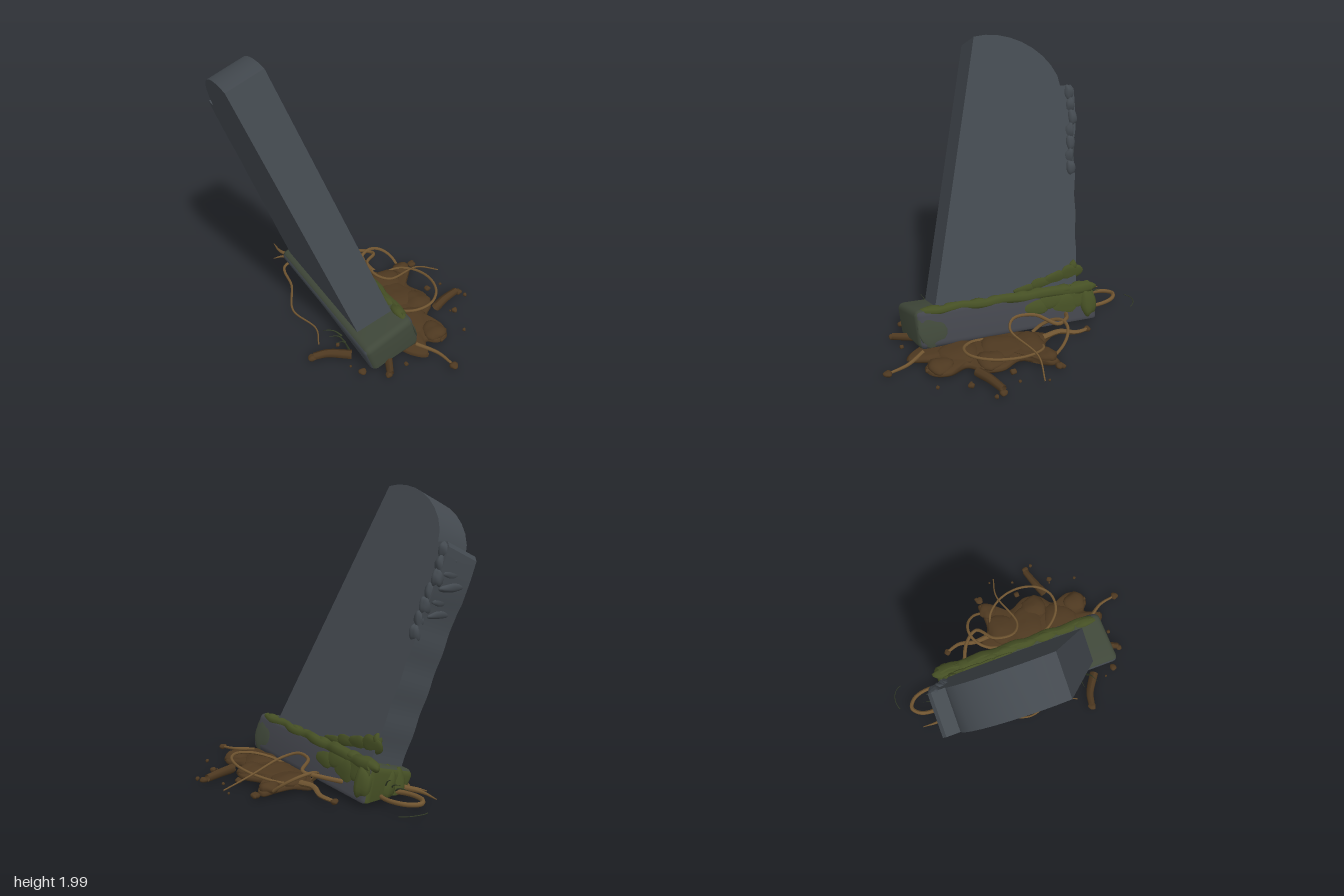
import * as THREE from 'three';
import { toCreasedNormals } from 'three/addons/utils/BufferGeometryUtils.js';
import { RoundedBoxGeometry } from 'three/addons/geometries/RoundedBoxGeometry.js';

const mat = (name, color) => new THREE.MeshStandardMaterial({ name, color });
const slate = mat('slate', 0x43494f);
const dampSlate = mat('damp slate', 0x42444b);
const mossyStone = mat('mossy stone', 0x3f4739);
const moss = mat('moss', 0x454f24);
const soil = mat('soil', 0x4d3820);
const rootBrown = mat('root brown', 0x6f5430);
const grass = mat('grass', 0x343d27);
soil.side = THREE.DoubleSide;

// Moves every vertex by a rule
function warp(geo, fn) {
  const p = geo.attributes.position, v = new THREE.Vector3();
  for (let i = 0; i < p.count; i++) {
    fn(v.fromBufferAttribute(p, i), i);
    p.setXYZ(i, v.x, v.y, v.z);
  }
  geo.computeVertexNormals();
  return geo;
}

// Leaning, slightly yawed frame of the plinth: x across, y up, z along
const LEAN = 0.3;
function plinthFrame(v) {
  const { x, y, z } = v;
  v.x = -0.02 + x * Math.cos(LEAN) - y * Math.sin(LEAN) - 0.09 * z;
  v.y = Math.max(0.02, 0.1 + x * Math.sin(LEAN) + y * Math.cos(LEAN) + 0.05 * z);
}

// Broad face of the slab: x as a function of height and depth
const faceX = (y, z) => 0.143 - 0.35 * y - 0.072 * z;

// Worn back edge of the slab: depth as a function of height
const wornZ = y => -0.495 - 0.155 * y + 0.004 * Math.sin(y * 24);

// Irregular rounded lump
function lump(x, y, z, rx, ry, rz, seed) {
  return warp(new THREE.SphereGeometry(1, 16, 12), v => {
    const k = 1 + 0.1 * Math.sin(4 * v.x + seed) * Math.cos(3 * v.y + seed * 2) + 0.08 * Math.sin(5 * v.z + seed * 3);
    v.set(x + v.x * rx * k, y + v.y * ry * k, z + v.z * rz * k);
  });
}

// Tube along points, its radius running from r0 to r1
function taperTube(r0, r1, ...points) {
  const curve = new THREE.CatmullRomCurve3(points.map(p => new THREE.Vector3(...p)));
  const n = points.length * 7, sides = 7, c = new THREE.Vector3();
  return warp(new THREE.TubeGeometry(curve, n, 1, sides), (v, i) => {
    const t = Math.floor(i / (sides + 1)) / n;
    curve.getPointAt(t, c);
    v.sub(c).multiplyScalar(r0 + (r1 - r0) * t).add(c);
    v.y = Math.max(0.003, v.y);
  });
}

// Root arching along part of an ellipse, angles in half turns
function archRoot(r, cx, cz, rx, rz, from, to, height) {
  const points = Array.from({ length: 9 }, (_, i) => {
    const a = (from + (to - from) * i / 8) * Math.PI;
    return [cx + rx * Math.cos(a), 0.03 + height * Math.sin(i / 8 * Math.PI), cz + rz * Math.sin(a)];
  });
  return taperTube(r, r * 0.8, ...points);
}

export function createModel() {
  const model = new THREE.Group();
  model.name = 'leaningGravestone';
  const add = (name, geo, material) => {
    const m = new THREE.Mesh(geo, material);
    m.name = name;
    model.add(m);
  };

  // Slab: straight front edge, worn back edge, shoulder and curved top
  const shape = new THREE.Shape();
  shape.moveTo(0.565, 0.2);
  for (let y = 0.2; y < 1.27; y += 0.04) shape.lineTo(wornZ(y), y);
  shape.lineTo(-0.71, 1.29);
  shape.lineTo(-0.735, 1.45);
  shape.lineTo(-0.745, 1.57);
  shape.lineTo(-0.725, 1.6);
  shape.lineTo(-0.64, 1.6);
  shape.lineTo(-0.63, 1.67);
  shape.bezierCurveTo(-0.55, 1.88, -0.27, 2.01, -0.04, 1.97);
  const slab = warp(new THREE.ExtrudeGeometry(shape, { depth: 1, bevelEnabled: false, curveSegments: 8 }), v => {
    const { x: z, y, z: t } = v;
    v.set(faceX(y, z) - 0.25 * t, y - 0.1 * t, z - 0.02 * t);
  });
  add('slab', toCreasedNormals(slab, 0.5), slate);

  // Worn bulges and folds down the broken edge
  for (let i = 0; i < 7; i++) {
    const y = 1.54 - i * 0.085;
    const z = y > 1.29 ? -0.7 : wornZ(y) + 0.03;
    add('wornBulge', lump(faceX(y, z) - 0.012, y, z, 0.035, 0.06, 0.036, i), slate);
    if (i < 5) add('edgeFold', lump(faceX(y, z) - 0.13, y - 0.06, z - 0.025, 0.12, 0.03, 0.022, i), slate);
  }

  // Plinth
  const box = new RoundedBoxGeometry(0.4, 0.27, 1.33, 3, 0.045).translate(-0.01, 0, 0.035);
  add('plinth', toCreasedNormals(warp(box, plinthFrame), 0.7),
    [dampSlate, slate, mossyStone, slate, mossyStone, moss]);
  add('mossyCorner', warp(lump(0.181, -0.01, 0.6, 0.015, 0.11, 0.11, 2), plinthFrame), mossyStone);

  // Continuous band of moss along the top edge, swollen in places
  const band = Array.from({ length: 15 }, (_, i) =>
    [0.165 + 0.008 * Math.sin(i * 2.1), 0.118 + 0.006 * Math.cos(i * 1.7), -0.6 + i * 0.088]);
  add('mossBand', warp(taperTube(0.046, 0.026, ...band.map(([x, y, z]) => [x, y + 1, z])).translate(0, -1, 0), plinthFrame), moss);
  for (let i = 0; i < 8; i++) {
    const r = 0.048 - i * 0.002;
    add('mossSwelling', warp(lump(0.15, 0.12, -0.55 + i * 0.16, r, r * 0.9, 0.1, i), plinthFrame), moss);
  }
  // Large patch spreading over the back half of the plinth's side
  for (let i = 0; i < 4; i++) {
    add('mossPatch', warp(lump(0.183, 0.065 - 0.03 * (i % 2), -0.5 + i * 0.11, 0.018, 0.085 - i * 0.012, 0.11, i), plinthFrame), moss);
  }
  // Heavy moss round the back end
  for (let i = 0; i < 4; i++) {
    add('mossClump', warp(lump(0.165 - i * 0.085, 0.01, -0.56 - 0.012 * i, 0.06, 0.12, 0.065, i), plinthFrame), moss);
    // Moss creeping up the slab
    const y = 0.33 - i * 0.016, z = -0.5 + i * 0.12;
    add('slabMoss', lump(faceX(y, z), y, z, 0.014, 0.06 - i * 0.01, 0.095, i), moss);
  }
  add('mossTuft', lump(faceX(0.37, -0.53) - 0.01, 0.36, -0.53, 0.03, 0.05, 0.035, 1), moss);

  // Soil mound: domed rings shrinking from a wavy outline
  const rim = [[0.1, 0.1], [0.3, -0.2], [0.38, -0.11], [0.5, -0.09], [0.61, -0.09], [0.61, -0.03], [0.47, 0.12], [0.52, 0.28],
    [0.48, 0.4], [0.38, 0.48], [0.41, 0.62], [0.36, 0.72], [0.27, 0.73], [0.21, 0.68], [0.13, 0.8], [0.03, 0.7], [0, 0.4]];
  const curve = new THREE.CatmullRomCurve3(rim.map(([x, z]) => new THREE.Vector3(x, 0, z)), true);
  const N = 84, cx = 0.27, cz = 0.28, pos = [], idx = [];
  const rings = [[0, 0], [0.96, 0], [1, 0.015], [0.96, 0.03], [0.8, 0.042], [0.5, 0.05], [0, 0.055]];
  rings.forEach(([s, y], k) => {
    for (let i = 0; i < N; i++) {
      const p = curve.getPoint(i / N);
      pos.push(cx + (p.x - cx) * s, y, cz + (p.z - cz) * s);
      if (k) {
        const a = (k - 1) * N + i, b = (k - 1) * N + (i + 1) % N;
        idx.push(a, b, b + N, a, b + N, a + N);
      }
    }
  });
  const mound = new THREE.BufferGeometry();
  mound.setAttribute('position', new THREE.Float32BufferAttribute(pos, 3));
  mound.setIndex(idx);
  mound.computeVertexNormals();
  add('soilMound', mound, soil);
  // Soft heaps on the mound
  [[0.3, 0.2, 0.15], [0.34, 0.0, 0.12], [0.4, 0.32, 0.1], [0.22, 0.45, 0.14], [0.31, 0.64, 0.085], [0.53, -0.04, 0.07]]
    .forEach(([x, z, r], i) => add('soilHeap', lump(x, 0.035, z, r, 0.04, r, i), soil));

  // Soil fingers reaching out from the foot
  add('soilFinger', taperTube(0.026, 0.034, [-0.52, 0.025, 0.38], [-0.43, 0.03, 0.41], [-0.3, 0.03, 0.51]), soil);
  add('soilFinger', taperTube(0.034, 0.026, [0.48, 0.03, 0.45], [0.58, 0.035, 0.42], [0.72, 0.03, 0.39]), soil);
  add('soilFinger', taperTube(0.024, 0.03, [-0.18, 0.03, 0.79], [-0.08, 0.03, 0.62]), soil);

  // Clods at the tips, then crumbs scattered in a ring
  const clod = (x, z, r, i) => add('clod', lump(x, 0.02, z, r, Math.min(r, 0.018), r, i), soil);
  [[-0.53, 0.38], [-0.32, 0.67], [-0.19, 0.79], [0.22, 0.96], [0.74, 0.4], [0.58, 0.54], [0.65, -0.06], [0.35, -0.47],
    [0.57, 0.24]].forEach(([x, z], i) => clod(x, z, 0.03 - 0.004 * (i % 3), i));
  for (let i = 0; i < 12; i++) {
    const a = -0.5 + i * 0.3, d = 0.58 + 0.07 * Math.sin(i * 2.7);
    clod(0.16 + d * Math.cos(a), 0.2 + d * Math.sin(a), 0.011 + 0.004 * Math.cos(i * 4), i);
  }

  // Arching roots over the mound and the loop behind
  add('root', archRoot(0.013, 0.38, -0.1, 0.16, 0.16, 1, 2, 0.12), rootBrown);
  add('root', archRoot(0.011, 0.37, 0.2, 0.21, 0.28, 1, -0.5, 0.1), rootBrown);
  add('root', archRoot(0.017, 0.04, -0.74, 0.09, 0.16, 0.5, 2.5, 0.02), rootBrown);
  add('root', archRoot(0.003, 0.13, -0.9, 0.12, 0.097, 1.35, 1.95, 0.01), grass);
  // Long winding root
  add('root', taperTube(0.016, 0.005, [0.17, 0.08, -0.4], [0.32, 0.13, -0.31], [0.38, 0.15, -0.2], [0.25, 0.18, -0.1],
    [0.22, 0.18, 0.05], [0.3, 0.15, 0.12], [0.6, 0.1, 0.07], [0.77, 0.03, 0.12]), rootBrown);
  // Thin root trailing along the sheltered side
  add('root', taperTube(0.012, 0.005, [-0.05, 0.04, -0.6], [-0.2, 0.02, -0.58], [-0.27, 0.02, -0.35], [-0.4, 0.02, -0.1],
    [-0.36, 0.02, 0.15], [-0.43, 0.02, 0.3]), rootBrown);
  // Short roots along the ground
  add('root', taperTube(0.022, 0.012, [0.33, 0.04, -0.12], [0.33, 0.05, -0.25], [0.37, 0.035, -0.36], [0.35, 0.02, -0.48]), rootBrown);
  add('root', taperTube(0.026, 0.003, [-0.05, 0.06, -0.56], [-0.14, 0.04, -0.74], [-0.13, 0.03, -0.88]), rootBrown);
  add('root', taperTube(0.022, 0.003, [-0.08, 0.04, -0.58], [-0.16, 0.04, -0.68], [-0.22, 0.02, -0.72]), rootBrown);
  add('root', taperTube(0.016, 0.009, [0.12, 0.04, 0.68], [0.2, 0.03, 0.82], [0.22, 0.02, 0.95]), rootBrown);

  // Two tufts of grass, each blade bending outward
  for (let i = 0; i < 3; i++) {
    const h = 0.15 - i * 0.035;
    const blade = (x, z, dx, dz) => add('grassBlade', taperTube(0.008, 0.001,
      [x, 0.02, z], [x + dx * 0.4, 0.02 + h * 0.7, z + dz * 0.4], [x + dx, 0.02 + h, z + dz]), grass);
    blade(-0.28 + i * 0.015, 0.45 - i * 0.07, -0.13, 0.03 - i * 0.04);
    blade(0.05 - i * 0.04, -0.6, 0.06, -0.12 - i * 0.04);
  }

  return model;
}
